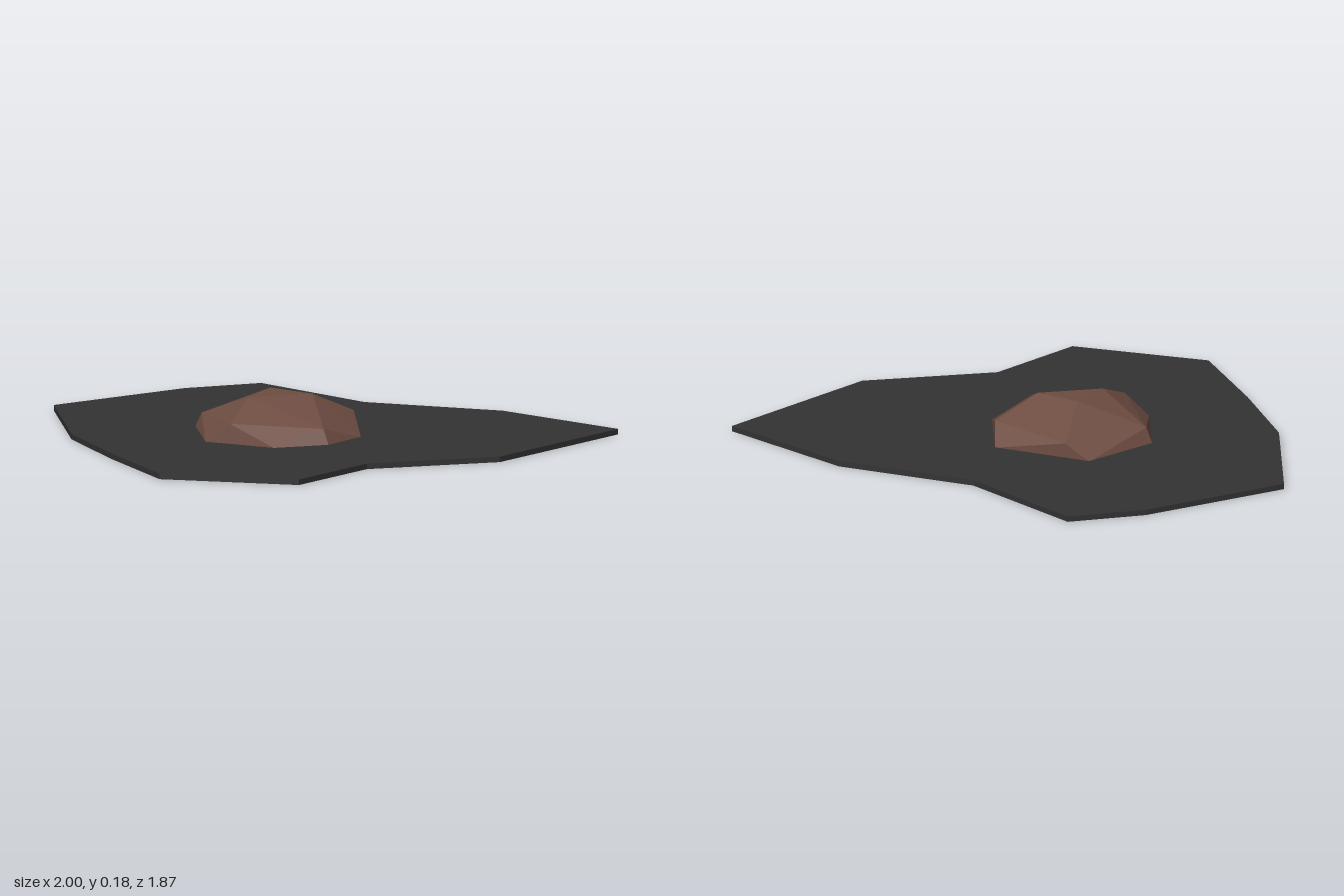
import * as THREE from 'three';
import { ConvexGeometry } from 'three/addons/geometries/ConvexGeometry.js';

export function createModel() {
  const group = new THREE.Group();
  const charcoal = new THREE.MeshStandardMaterial({ color: 0x333333 });
  charcoal.name = 'charcoal';
  const brown = new THREE.MeshStandardMaterial({ color: 0x6d4c41, flatShading: true });
  brown.name = 'brown';

  // Thin irregular slab, outline as [x, z]
  const outline = [
    [-0.54, -0.935], [-0.82, -0.41], [-0.92, 0.01], [-1, 0.455],
    [-0.62, 0.865], [-0.215, 0.75], [0.295, 0.93], [1, 0.73],
    [0.84, 0.165], [0.495, -0.29], [0.385, -0.84], [0.08, -0.925],
  ];
  const shape = new THREE.Shape(outline.map(([x, z]) => new THREE.Vector2(x, -z)));
  const slabGeometry = new THREE.ExtrudeGeometry(shape, { depth: 0.022, bevelEnabled: false });
  slabGeometry.rotateX(-Math.PI / 2);
  const slab = new THREE.Mesh(slabGeometry, charcoal);
  slab.name = 'groundSlab';
  group.add(slab);

  // Low faceted rock: base ring, shoulder ring and crown as [x, y, z]
  const rockPoints = [
    [-0.48, 0.02, 0.02], [-0.33, 0.02, -0.265], [-0.01, 0.02, -0.325],
    [0.23, 0.02, 0], [0.08, 0.02, 0.285], [-0.12, 0.02, 0.35], [-0.33, 0.02, 0.28],
    [-0.42, 0.1, 0.105], [-0.32, 0.08, -0.235], [0.05, 0.08, -0.24],
    [0.17, 0.09, 0.105], [-0.12, 0.08, 0.315],
    [-0.265, 0.175, 0.01], [-0.02, 0.175, 0.095], [-0.1, 0.18, -0.08],
  ].map((p) => new THREE.Vector3(...p));
  const rock = new THREE.Mesh(new ConvexGeometry(rockPoints), brown);
  rock.name = 'rock';
  group.add(rock);

  return group;
}
